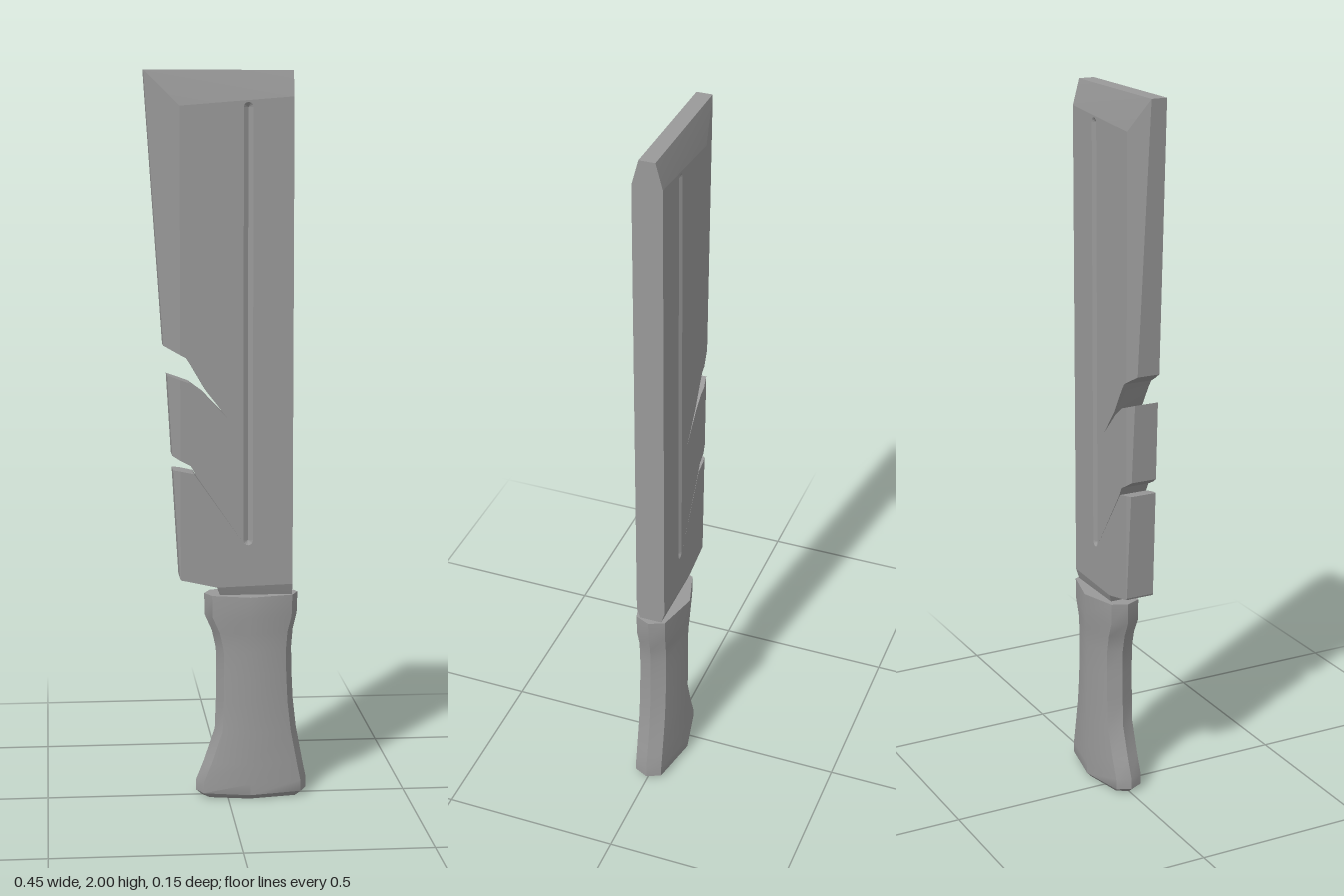
import * as THREE from 'three';
import { toCreasedNormals } from 'three/addons/utils/BufferGeometryUtils.js';

const material = new THREE.MeshStandardMaterial({ color: 0x999999 });
const FACE = 0.041; // half thickness of the blade

// half thickness of the blade at a corner: thinner at the tip, the tang and the cutting edge
function halfThickness([x, y]) {
  if (y > 1.99) return 0.022;
  if (y < 0.58) return 0.03;
  return x < -0.13 ? FACE - 0.19 * (-0.13 - x) : FACE;
}

function meshFrom(name, positions, crease) {
  const geometry = new THREE.BufferGeometry();
  geometry.setAttribute('position', new THREE.Float32BufferAttribute(positions, 3));
  const mesh = new THREE.Mesh(toCreasedNormals(geometry, crease), material);
  mesh.name = name;
  return mesh;
}

function createBlade() {
  const positions = [];
  // adds a triangle and its mirror image on the back
  const both = (a, b, c) => {
    positions.push(...a, ...b, ...c);
    for (const [x, y, z] of [a, c, b]) positions.push(x, y, -z);
  };
  const lift = (p) => [p[0], p[1], halfThickness(p)];
  const patch = (points, hole = []) => {
    const toV = (p) => new THREE.Vector2(p[0], p[1]);
    const all = [...points, ...hole];
    const holes = hole.length ? [hole.map(toV)] : [];
    const faces = THREE.ShapeUtils.triangulateShape(points.map(toV), holes);
    for (const f of faces) both(...f.map((i) => lift(all[i])));
  };

  // long groove with rounded ends
  const gx = 0.055, gr = 0.013, y0 = 0.728, y1 = 1.902, n = 6;
  const groove = [];
  for (const [start, y] of [[0, y1], [Math.PI, y0]]) {
    for (let i = 0; i <= n; i++) {
      const t = start + (Math.PI * i) / n;
      groove.push([gx + gr * Math.cos(t), y + gr * Math.sin(t)]);
    }
  }
  const floor = (p) => [gx, THREE.MathUtils.clamp(p[1], y0, y1), FACE - 0.009];
  groove.forEach((p, i) => {
    const q = groove[(i + 1) % groove.length];
    both(lift(p), lift(q), floor(q));
    both(lift(p), floor(q), floor(p));
  });

  // notches closing to a narrow slit: inward along the upper side, back out along the lower
  const upperNotch = [[-0.13, 1.24], [-0.115, 1.232], [-0.1, 1.21], [-0.061, 1.143], [0, 1.065],
    [-0.067, 1.135], [-0.105, 1.163], [-0.13, 1.172]];
  const lowerNotch = [[-0.13, 0.951], [-0.102, 0.937], [-0.086, 0.908], [0.038, 0.727],
    [-0.093, 0.914], [-0.13, 0.922]];

  // flat side of the blade
  patch([[-0.13, 0.62], [-0.03, 0.598], [0.178, 0.605], [0.178, 1.93], [-0.13, 1.905],
    ...upperNotch, ...lowerNotch], groove);
  // bevels: tip, tang, and the three stretches of cutting edge
  patch([[-0.225, 2], [-0.13, 1.905], [0.178, 1.93], [0.178, 2]]);
  patch([[-0.03, 0.598], [-0.02, 0.57], [0.178, 0.57], [0.178, 0.605]]);
  patch([[-0.225, 2], [-0.175, 1.265], [-0.13, 1.24], [-0.13, 1.905]]);
  patch([[-0.165, 1.185], [-0.152, 0.965], [-0.13, 0.951], [-0.13, 1.172]]);
  patch([[-0.15, 0.925], [-0.132, 0.625], [-0.13, 0.62], [-0.13, 0.922]]);

  // rim joining the two sides
  const outline = [[-0.132, 0.625], [-0.13, 0.62], [-0.03, 0.598], [-0.02, 0.57], [0.178, 0.57],
    [0.178, 0.605], [0.178, 1.93], [0.178, 2], [-0.225, 2], [-0.175, 1.265],
    ...upperNotch, [-0.165, 1.185], [-0.152, 0.965], ...lowerNotch, [-0.15, 0.925]];
  outline.forEach((p, i) => {
    const a = lift(p), b = lift(outline[(i + 1) % outline.length]);
    const a2 = [a[0], a[1], -a[2]], b2 = [b[0], b[1], -b[2]];
    positions.push(...a, ...a2, ...b2, ...a, ...b2, ...b);
  });
  return meshFrom('blade', positions, 0.15);
}

function createHandle() {
  // height, left tip x, right tip x, half depth
  const sections = [
    [0, -0.07, 0.207, 0.054], [0.014, -0.087, 0.223, 0.068], [0.045, -0.086, 0.222, 0.068],
    [0.1, -0.064, 0.211, 0.068], [0.19, -0.034, 0.194, 0.068], [0.27, -0.031, 0.185, 0.068],
    [0.35, -0.03, 0.181, 0.068], [0.42, -0.031, 0.18, 0.068], [0.47, -0.042, 0.184, 0.069],
    [0.515, -0.062, 0.195, 0.073], [0.575, -0.063, 0.197, 0.073],
  ];
  // eight-sided ring with a ridge down each side
  const rings = sections.map(([y, l, r, d]) => {
    const e = d * 0.58, mid = 0.06, inset = 0.019;
    return [[r, y, 0], [r - inset, y, e], [mid, y, d], [l + inset, y, e],
      [l, y, 0], [l + inset, y, -e], [mid, y, -d], [r - inset, y, -e]];
  });
  const positions = [];
  const last = rings.length - 1;
  for (let j = 0; j < 8; j++) {
    const k = (j + 1) % 8;
    for (let i = 0; i < last; i++) {
      const a = rings[i][j], b = rings[i][k], c = rings[i + 1][j], d = rings[i + 1][k];
      positions.push(...a, ...c, ...b, ...b, ...c, ...d);
    }
    positions.push(0.06, 0, 0, ...rings[0][j], ...rings[0][k]);
    positions.push(0.06, 0.575, 0, ...rings[last][k], ...rings[last][j]);
  }
  return meshFrom('handle', positions, 0.7);
}

export function createModel() {
  const model = new THREE.Group();
  model.name = 'machete';
  model.add(createBlade(), createHandle());
  return model;
}
